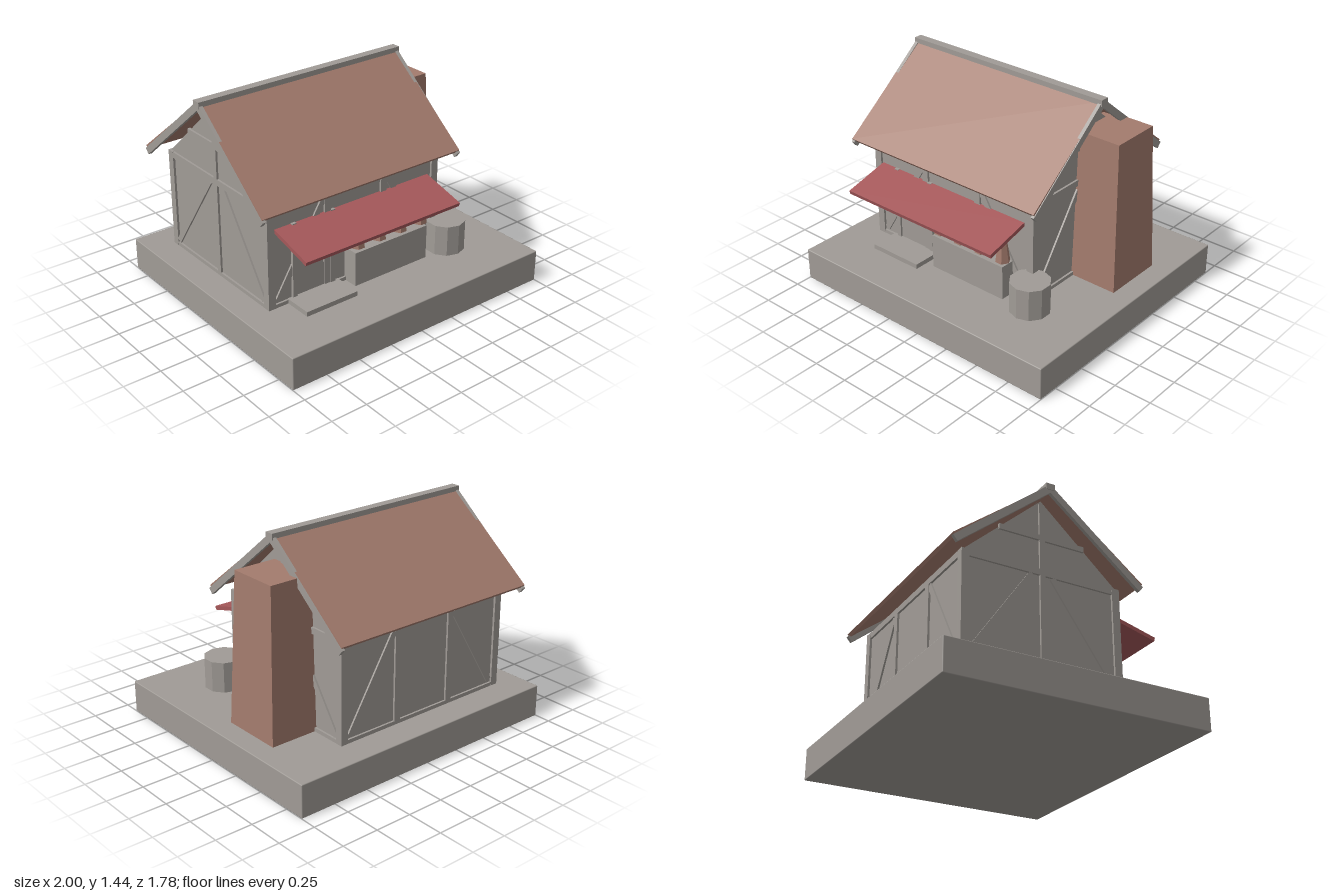
import * as THREE from 'three';
import { RoundedBoxGeometry } from 'three/addons/geometries/RoundedBoxGeometry.js';

function material(name, color) {
  const m = new THREE.MeshStandardMaterial({ color });
  m.name = name;
  return m;
}

export function createModel() {
  const stone = material('warm grey', 0xa09b96);
  const clay = material('clay brown', 0xa37b6d);
  const cloth = material('awning red', 0xa5585a);

  const model = new THREE.Group();
  model.name = 'cottageShop';

  const add = (parent, name, geo, mat, x = 0, y = 0, z = 0) => {
    const mesh = new THREE.Mesh(geo, mat);
    mesh.name = name;
    mesh.position.set(x, y, z);
    parent.add(mesh);
    return mesh;
  };
  // Box given by its minimum and maximum on each axis
  const block = (parent, name, mat, [x0, x1], [y0, y1], [z0, z1]) =>
    add(parent, name, new THREE.BoxGeometry(x1 - x0, y1 - y0, z1 - z0), mat,
      (x0 + x1) / 2, (y0 + y1) / 2, (z0 + z1) / 2);
  // Slanted beam in a plane facing z, from (x, y) to (x, y)
  const beamXY = (parent, name, mat, [ax, ay], [bx, by], w, depth, z) => {
    const m = add(parent, name, new THREE.BoxGeometry(Math.hypot(bx - ax, by - ay), w, depth), mat,
      (ax + bx) / 2, (ay + by) / 2, z);
    m.rotation.z = Math.atan2(by - ay, bx - ax);
  };
  // Slanted beam in a plane facing x, from (z, y) to (z, y)
  const beamZY = (parent, name, mat, [az, ay], [bz, by], w, depth, x) => {
    const m = add(parent, name, new THREE.BoxGeometry(depth, w, Math.hypot(bz - az, by - ay)), mat,
      x, (ay + by) / 2, (az + bz) / 2);
    m.rotation.x = -Math.atan2(by - ay, bz - az);
  };

  // Ground slab
  add(model, 'base', new RoundedBoxGeometry(2, 0.22, 1.78, 1, 0.006), stone, 0, 0.11, 0);

  // House, centred on its own ridge
  const house = new THREE.Group();
  house.name = 'house';
  house.position.set(-0.14, 0, -0.145);
  model.add(house);
  const HX = 0.675, HZ = 0.545, FLOOR = 0.22, EAVE = 0.905;

  // Plaster walls with gables
  const profile = new THREE.Shape([
    [-0.53, FLOOR], [0.53, FLOOR], [0.53, EAVE], [0, 1.385], [-0.53, EAVE],
  ].map(([z, y]) => new THREE.Vector2(z, y)));
  const wallGeo = new THREE.ExtrudeGeometry(profile, { depth: 1.32, bevelEnabled: false });
  wallGeo.translate(0, 0, -0.66).rotateY(Math.PI / 2);
  add(house, 'walls', wallGeo, stone);

  // Corner posts
  for (const sx of [-1, 1]) for (const sz of [-1, 1]) {
    add(house, 'cornerPost', new THREE.BoxGeometry(0.052, EAVE - FLOOR, 0.052), stone,
      sx * (HX - 0.026), (EAVE + FLOOR) / 2, sz * (HZ - 0.026));
  }

  // Timber framing on the front and back: three bays
  for (const s of [-1, 1]) {
    const z = s * (HZ - 0.012), d = 0.022;
    add(house, 'topRail', new THREE.BoxGeometry(1.26, 0.042, d), stone, 0, 0.883, z);
    add(house, 'sill', new THREE.BoxGeometry(1.26, 0.025, d), stone, 0, 0.2325, z);
    for (const sx of [-1, 1]) {
      add(house, 'wallPost', new THREE.BoxGeometry(0.046, 0.64, d), stone, sx * 0.222, 0.545, z);
      beamXY(house, 'brace', stone, [sx * 0.6, 0.27], [sx * 0.25, 0.85], 0.04, d - 0.004, z);
    }
  }

  // Timber framing on the gable ends
  for (const s of [-1, 1]) {
    const x = s * (HX - 0.012), d = 0.022;
    add(house, 'tieBeam', new THREE.BoxGeometry(d, 0.042, 1.0), stone, x, 0.883, 0);
    add(house, 'sill', new THREE.BoxGeometry(d, 0.025, 1.0), stone, x, 0.2325, 0);
    add(house, 'collarBeam', new THREE.BoxGeometry(d, 0.036, 0.59), stone, x, 1.12, 0);
    add(house, 'kingPost', new THREE.BoxGeometry(d, 1.13, 0.036), stone, x, 0.79, 0);
    for (const sz of [-1, 1]) {
      beamZY(house, 'brace', stone, [sz * 0.485, 0.26], [sz * 0.07, 0.86], 0.04, d - 0.004, x);
    }
  }

  // Roof slopes, barge boards and ridge
  for (const s of [-1, 1]) {
    beamZY(house, 'roofSlope', clay, [s * 0.643, 0.915], [0, 1.418], 0.024, 1.535, -0.0075);
    for (const x of [-0.766, 0.754]) {
      beamZY(house, 'bargeBoard', stone, [s * 0.64, 0.887], [0, 1.412], 0.046, 0.024, x);
    }
  }
  add(house, 'ridgeBeam', new THREE.BoxGeometry(1.555, 0.042, 0.06), stone, -0.005, 1.423, 0);

  // Tapered square chimney
  const chimneyGeo = new THREE.CylinderGeometry(0.175 * Math.SQRT2, 0.2125 * Math.SQRT2, 1.01, 4, 1)
    .toNonIndexed().rotateY(Math.PI / 4);
  chimneyGeo.computeVertexNormals();
  add(model, 'chimney', chimneyGeo, clay, 0.643, 0.725, -0.224);

  // Door with jambs, handle and step
  block(model, 'door', stone, [-0.605, -0.335], [0.24, 0.74], [0.38, 0.392]);
  block(model, 'doorJamb', stone, [-0.635, -0.603], [0.22, 0.76], [0.38, 0.405]);
  block(model, 'doorJamb', stone, [-0.342, -0.31], [0.22, 0.76], [0.38, 0.405]);
  block(model, 'doorHandle', stone, [-0.397, -0.38], [0.415, 0.465], [0.39, 0.41]);
  block(model, 'doorStep', stone, [-0.67, -0.28], [0.22, 0.252], [0.39, 0.59]);

  // Shop counter with four tapered pots
  block(model, 'counter', stone, [-0.22, 0.37], [0.22, 0.455], [0.38, 0.495]);
  const potGeo = new THREE.CylinderGeometry(0.025, 0.049, 0.165, 6).toNonIndexed().rotateY(Math.PI / 6);
  potGeo.computeVertexNormals();
  for (let i = 0; i < 4; i++) {
    add(model, 'pot', potGeo, clay, -0.175 + i * 0.172, 0.558, 0.457);
  }

  // Sloping awning
  const awning = new THREE.Group();
  awning.name = 'awning';
  model.add(awning);
  beamZY(awning, 'awningCloth', cloth, [0.385, 0.746], [0.698, 0.663], 0.026, 1.21, -0.15);

  // Faceted barrel
  const barrelGeo = new THREE.CylinderGeometry(0.132, 0.132, 0.21, 10).toNonIndexed();
  barrelGeo.computeVertexNormals();
  add(model, 'barrel', barrelGeo, stone, 0.566, 0.325, 0.463);

  return model;
}
